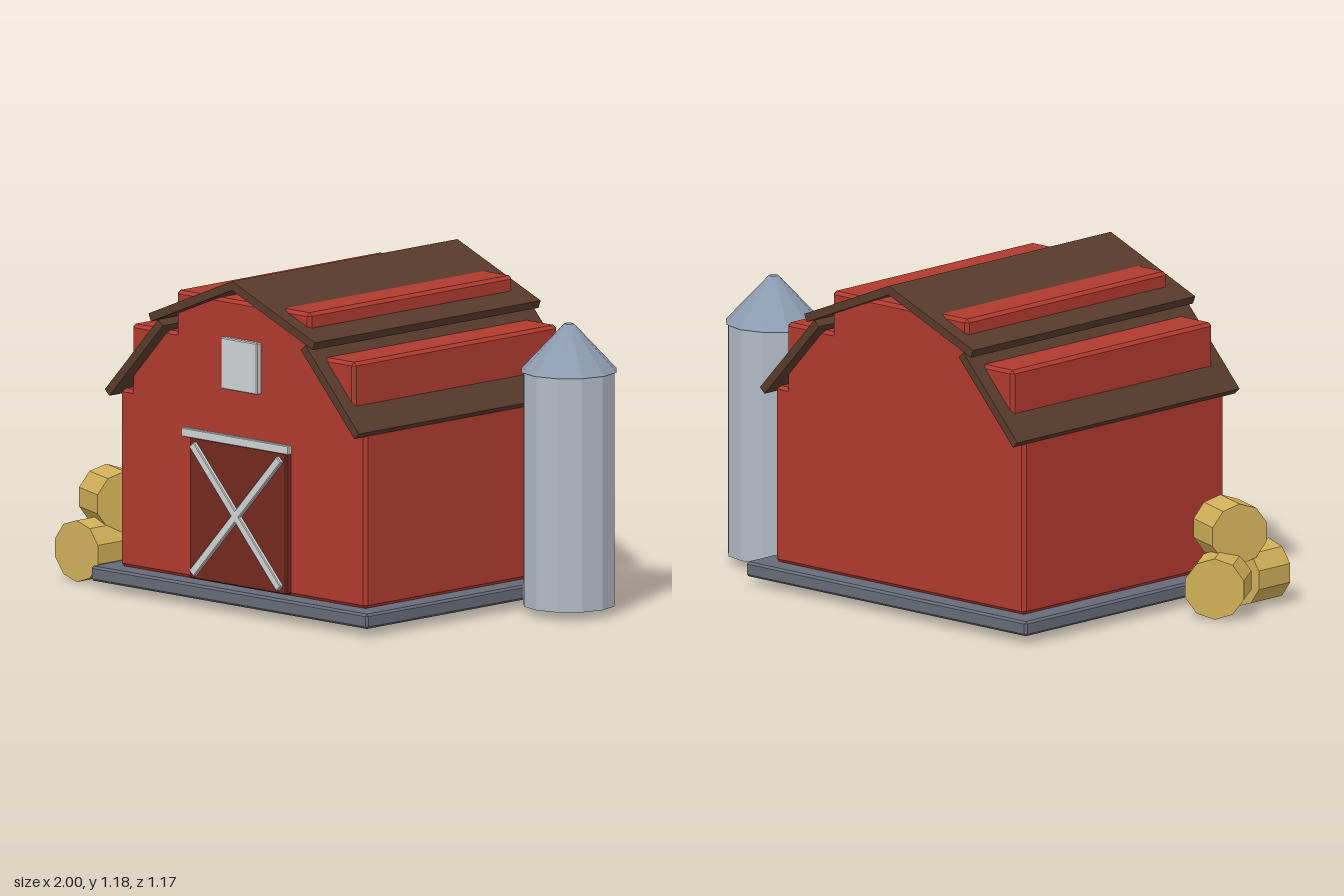
import * as THREE from 'three';
import { ConvexGeometry } from 'three/addons/geometries/ConvexGeometry.js';

function material(name, color) {
  const m = new THREE.MeshStandardMaterial({ color, flatShading: true });
  m.name = name;
  return m;
}

// Box with flat chamfered edges
function chamferBox(w, h, d, c) {
  const points = [];
  for (const x of [-1, 1]) for (const y of [-1, 1]) for (const z of [-1, 1]) {
    const X = x * w / 2, Y = y * h / 2, Z = z * d / 2;
    points.push(
      new THREE.Vector3(X, Y - y * c, Z - z * c),
      new THREE.Vector3(X - x * c, Y, Z - z * c),
      new THREE.Vector3(X - x * c, Y - y * c, Z));
  }
  return new ConvexGeometry(points);
}

export function createModel() {
  const red = material('barn red', 0xb03a2e);
  const darkRed = material('door red', 0x74281f);
  const brown = material('roof brown', 0x573a2b);
  const white = material('trim white', 0xcfd2d2);
  const stone = material('foundation grey', 0x666b78);
  const steel = material('silo grey', 0xb0b9c2);
  const cap = material('silo cap blue grey', 0x8c9bb0);
  const straw = material('hay', 0xd0af58);

  const model = new THREE.Group();
  model.name = 'farm';
  const barn = new THREE.Group();
  barn.name = 'barn';
  barn.position.x = -0.022;
  model.add(barn);

  function add(parent, name, geometry, mat, x, y, z) {
    const mesh = new THREE.Mesh(geometry, mat);
    mesh.name = name;
    mesh.position.set(x, y, z);
    parent.add(mesh);
    return mesh;
  }

  // Block given by its bottom, top, back and front
  function block(name, mat, w, y0, y1, z0, z1, c, x = 0) {
    return add(barn, name, chamferBox(w, y1 - y0, z1 - z0, c), mat, x, (y0 + y1) / 2, (z0 + z1) / 2);
  }

  // Foundation and stepped body
  block('foundation', stone, 1.355, 0.03, 0.083, -0.585, 0.585, 0.008);
  block('walls', red, 1.205, 0.083, 0.72, -0.515, 0.515, 0.012);
  block('loft', red, 1.093, 0.5, 0.956, -0.515, 0.515, 0.012);
  block('upperLoft', red, 0.655, 0.85, 1.105, -0.515, 0.515, 0.012);

  // Gambrel roof: slabs placed by the ends of their upper face
  const thick = 0.03;
  function roofSlab(name, x0, y0, x1, y1) {
    const dx = x1 - x0, dy = y1 - y0, len = Math.hypot(dx, dy);
    for (const side of [1, -1]) {
      const slab = add(barn, name, new THREE.BoxGeometry(len, thick, 1.138), brown,
        side * ((x0 + x1) / 2 + dy / len * thick / 2), (y0 + y1) / 2 - dx / len * thick / 2, 0);
      slab.rotation.z = side * Math.atan2(dy, dx);
    }
  }
  roofSlab('upperRoof', 0, 1.185, 0.408, 1.018);
  roofSlab('lowerRoof', 0.36, 1.003, 0.622, 0.719);

  // Sliding door with rail and cross braces
  block('door', darkRed, 0.475, 0.09, 0.6, 0.505, 0.541, 0.005);
  block('doorRail', white, 0.525, 0.595, 0.628, 0.535, 0.555, 0.003);
  for (const side of [1, -1]) {
    const brace = block('doorBrace', white, 0.63, 0.327, 0.357, 0.538, 0.555, 0.003);
    brace.rotation.z = side * Math.atan2(0.465, 0.43);
  }
  block('loftWindow', white, 0.18, 0.785, 0.97, 0.505, 0.535, 0.004);

  // Silo
  add(model, 'siloBody', new THREE.CylinderGeometry(0.165, 0.165, 0.84, 12), steel, 0.825, 0.45, -0.26);
  add(model, 'siloCap', new THREE.CylinderGeometry(0.017, 0.173, 0.167, 12), cap, 0.825, 0.95, -0.26);

  // Hay bales: position and turn of the axis away from z
  const baleGeometry = new THREE.CylinderGeometry(0.11, 0.11, 0.16, 10).rotateX(Math.PI / 2);
  for (const [x, y, z, turn] of [
    [-0.83, 0.11, 0.44, 0],
    [-0.87, 0.11, 0.22, 0.59],
    [-0.814, 0.277, 0.34, 1.19],
  ]) {
    add(model, 'hayBale', baleGeometry, straw, x, y, z).rotation.y = turn;
  }
  return model;
}
